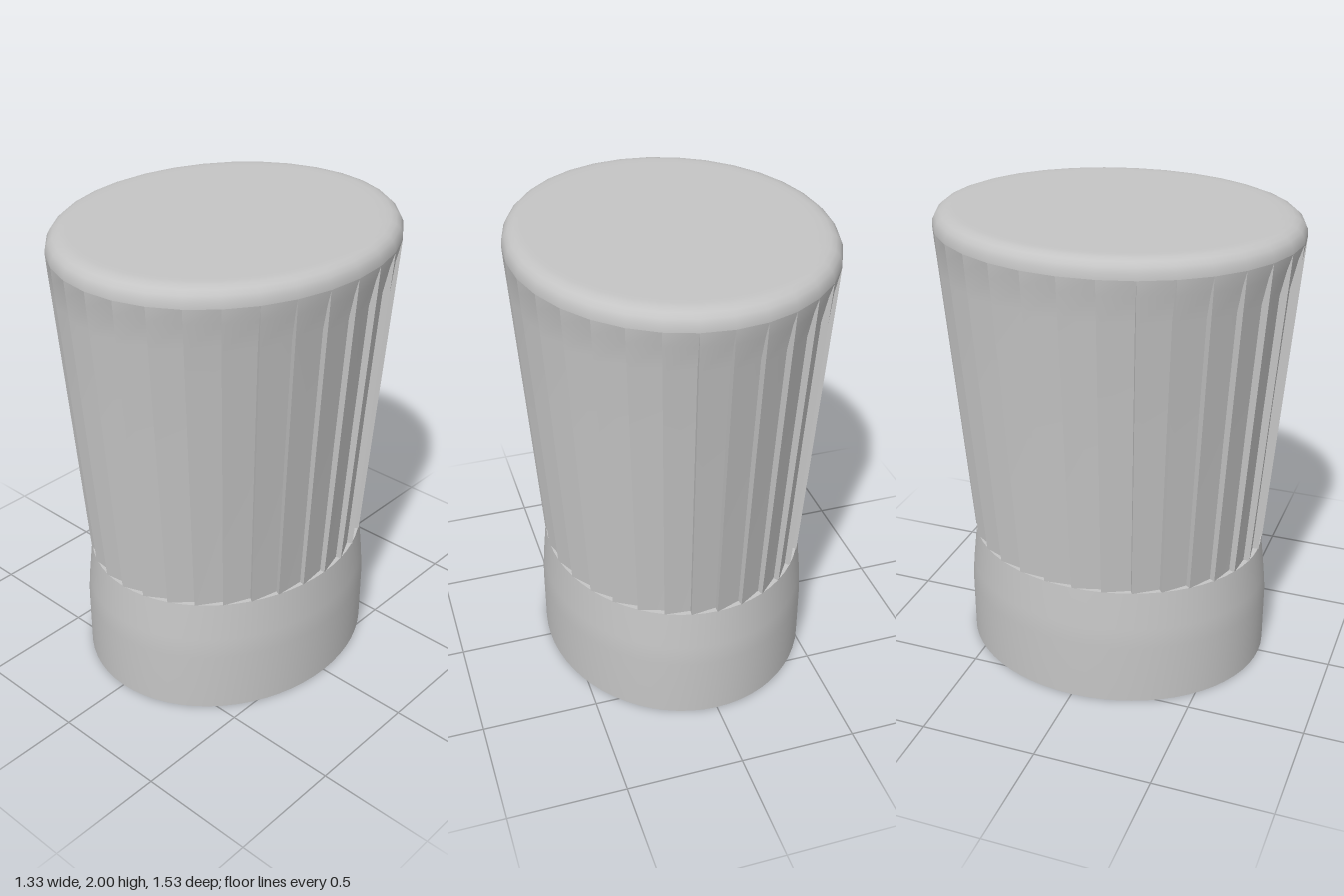
import * as THREE from 'three';

const PLEATS = 32;
const DEPTH_RATIO = 1.155; // oval plan: longer in z than in x

export function createModel() {
  const model = new THREE.Group();
  model.name = 'pleatedHat';
  const cloth = new THREE.MeshStandardMaterial({ color: 0xc4c4c4 });
  cloth.name = 'clothGrey';

  const add = (parent, name, geometry) => {
    geometry.scale(1, 1, DEPTH_RATIO);
    const mesh = new THREE.Mesh(geometry, cloth);
    mesh.name = name;
    parent.add(mesh);
  };
  const turned = (profile, segments) =>
    new THREE.LatheGeometry(profile.map(([r, y]) => new THREE.Vector2(r, y)), segments);

  // Headband: separate turned surfaces keep the edges sharp
  const band = new THREE.Group();
  band.name = 'headband';
  model.add(band);
  const bandParts = {
    bandOuterWall: [[0.587, 0], [0.587, 0.27], [0.58, 0.36], [0.563, 0.53]],
    bandTopEdge: [[0.563, 0.53], [0.48, 0.53]],
    bandLowerEdge: [[0.527, 0], [0.587, 0]],
    bandInnerWall: [[0.527, 0.33], [0.527, 0]],
    bandCeiling: [[0, 0.33], [0.527, 0.33]],
  };
  for (const [name, profile] of Object.entries(bandParts)) add(band, name, turned(profile, 64));

  // Crown wall rows: height, outer radius, pleat depth
  const rows = [
    [0.53, 0.566, 0.024],
    [1.2, 0.613, 0.028],
    [1.75, 0.652, 0.028],
    [1.86, 0.66, 0.014],
    [1.925, 0.664, 0],
  ];
  const point = (radius, y, k) => {
    const a = (k / PLEATS) * Math.PI * 2;
    return [radius * Math.sin(a), y, radius * Math.cos(a)];
  };

  // Strip of quads between a left and a right edge, seen from outside
  const strip = (left, right) => {
    const index = [];
    for (let i = 0; i < rows.length - 1; i++) {
      const b = i * 2;
      index.push(b, b + 1, b + 3, b, b + 3, b + 2);
    }
    const g = new THREE.BufferGeometry();
    const pos = rows.flatMap((row, i) => [...left(row), ...right(row)]);
    g.setAttribute('position', new THREE.Float32BufferAttribute(pos, 3));
    g.setIndex(index);
    g.computeVertexNormals();
    return g;
  };

  // Pleats: each panel slopes inward to a small step at the next one
  const pleats = new THREE.Group();
  pleats.name = 'pleats';
  model.add(pleats);
  for (let k = 0; k < PLEATS; k++) {
    const outer = ([y, r]) => point(r, y, k);
    const inner = ([y, r, d]) => point(r - d, y, k);
    const nextInner = ([y, r, d]) => point(r - d, y, k + 1);
    add(pleats, 'pleatPanel', strip(outer, nextInner));
    add(pleats, 'pleatStep', strip(inner, outer));
  }

  // Rounded rim and flat top
  add(model, 'crownTop', turned([
    [0.664, 1.925], [0.662, 1.95], [0.652, 1.972], [0.636, 1.988],
    [0.615, 1.997], [0.59, 2], [0.56, 2], [0, 2],
  ], PLEATS));

  return model;
}
